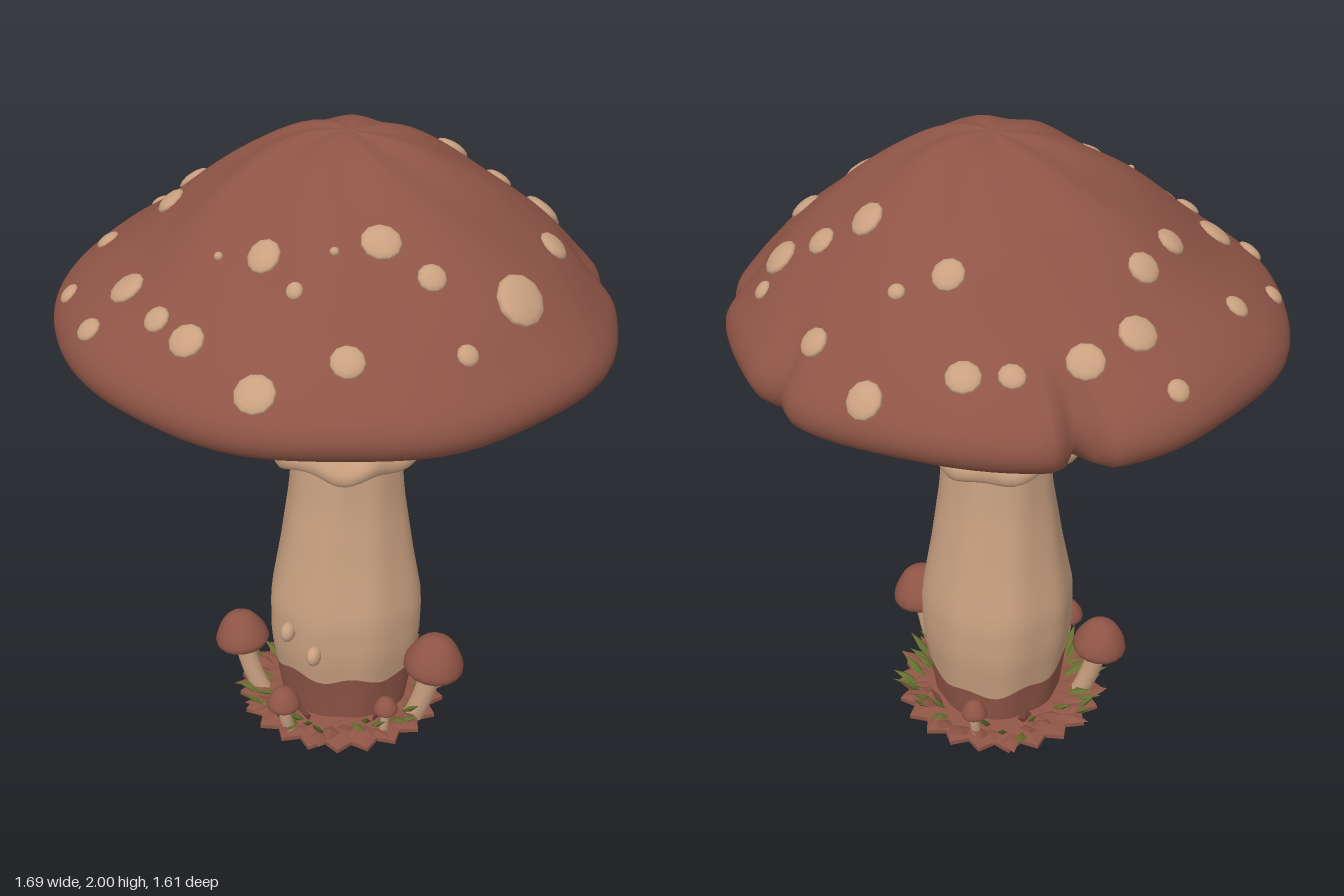
import * as THREE from 'three';

const { sin, cos, abs, exp, PI } = Math;
const mat = (name, color) => {
  const m = new THREE.MeshStandardMaterial({ color });
  m.name = name;
  return m;
};

export function createModel() {
  const model = new THREE.Group();
  const red = mat('russet', 0x8f5546);
  const beige = mat('beige', 0xc9a080);
  const olive = mat('olive', 0x667030);

  let seed = 11;
  const rand = () => (seed = (seed * 16807) % 2147483647) / 2147483647;

  const add = (name, geometry, material, parent = model) => {
    const mesh = new THREE.Mesh(geometry, material);
    mesh.name = name;
    parent.add(mesh);
    return mesh;
  };

  // Closed ring surface; point(angle, row, column) is given from top to bottom, outside first
  const ringSurface = (cols, rows, point) => {
    const pos = [], idx = [];
    for (let j = 0; j < rows; j++) {
      for (let i = 0; i < cols; i++) pos.push(...point((i / cols) * PI * 2, j, i));
    }
    for (let j = 0; j < rows - 1; j++) {
      for (let i = 0; i < cols; i++) {
        const a = j * cols + i, b = j * cols + ((i + 1) % cols);
        idx.push(a, b, a + cols, b, b + cols, a + cols);
      }
    }
    const g = new THREE.BufferGeometry();
    g.setAttribute('position', new THREE.Float32BufferAttribute(pos, 3));
    g.setIndex(idx);
    g.computeVertexNormals();
    return g;
  };
  const smoothProfile = (pts, n) => new THREE.SplineCurve(pts.map(p => new THREE.Vector2(...p))).getPoints(n);

  // Cap: lumpy dome with a rolled rim and a few splits in the edge
  const capProfile = smoothProfile([[0, 2], [0.1, 1.993], [0.2, 1.962], [0.31, 1.9], [0.42, 1.825], [0.53, 1.735],
    [0.64, 1.64], [0.745, 1.55], [0.81, 1.48], [0.83, 1.42], [0.81, 1.37], [0.76, 1.345], [0.7, 1.352]], 36);
  const splits = [[-2.31, 0.13, 0.05], [-1.15, 0.05, 0.06], [-0.45, 0.06, 0.06]];
  const rimScale = a => {
    let s = 1 + 0.008 * sin(5 * a + 1) + 0.006 * sin(9 * a);
    for (const [at, depth, width] of splits) {
      const d = Math.atan2(sin(a - at), cos(a - at));
      s -= depth * exp(-((d / width) ** 2));
    }
    return s;
  };
  const capPoint = (a, j) => {
    const { x: r, y } = capProfile[j];
    const rim = THREE.MathUtils.smoothstep(r, 0.6, 0.8);
    const mid = sin(PI * Math.min(1, r / 0.8));
    const k = r * (1 + (rimScale(a) - 1) * rim + 0.012 * mid * sin(4 * a + 2 + r * 6));
    const lift = 0.008 * mid * sin(7 * a + r * 9) + 0.006 * rim * sin(6 * a);
    return [k * cos(a) * 1.015 + 0.04 * (1 - rim) - 0.004, y + lift, k * sin(a) * 0.97];
  };
  const cap = add('cap', ringSurface(120, capProfile.length, capPoint), red);

  // Gills: fine radial folds running from the rim to the stem
  const gillRows = [[0.73, 1.362], [0.69, 1.352], [0.6, 1.338], [0.45, 1.337], [0.3, 1.352], [0.13, 1.385]];
  add('gills', ringSurface(240, gillRows.length, (a, j, i) => {
    const [r, y] = gillRows[j];
    const fold = (i % 2 ? 0.008 : -0.003) * (j > 0 && j < 5 ? 1 : 0);
    const k = r * (j < 2 ? rimScale(a) : 1);
    return [k * cos(a) * 1.015, y + fold + 0.005 * sin(a * 5), k * sin(a) * 0.97];
  }), beige);

  // Cap spots: x, z, radius, flattened onto the dome
  const spots = [
    [0.02, -0.755, 0.058], [-0.22, -0.64, 0.053], [-0.335, -0.58, 0.038], [0.24, -0.655, 0.046], [-0.485, -0.445, 0.056],
    [-0.56, -0.28, 0.06], [-0.71, -0.335, 0.036], [-0.07, -0.45, 0.048], [0.05, -0.525, 0.026], [0.24, -0.36, 0.055],
    [0.38, -0.385, 0.045], [0.52, -0.39, 0.06], [0.53, -0.475, 0.03], [0.62, -0.105, 0.053], [-0.49, -0.1, 0.05],
    [-0.49, 0.08, 0.05], [-0.7, 0.085, 0.037], [-0.72, 0.325, 0.035], [-0.485, 0.425, 0.056], [-0.56, 0.535, 0.04],
    [-0.335, 0.565, 0.04], [-0.22, 0.63, 0.053], [-0.065, 0.435, 0.052], [0.02, 0.745, 0.058], [0.24, 0.625, 0.047],
    [0.525, 0.46, 0.033], [0.24, 0.34, 0.058], [0.39, 0.355, 0.04], [0.61, 0.24, 0.08], [0.05, 0.51, 0.026],
    [0.13, 0.41, 0.013], [-0.2, 0.43, 0.013]];
  const up = new THREE.Vector3(0, 1, 0);
  const ray = new THREE.Raycaster();
  cap.updateMatrixWorld();
  for (const [x, z, r] of spots) {
    ray.set(new THREE.Vector3(x, 3, z), new THREE.Vector3(0, -1, 0));
    const hit = ray.intersectObject(cap)[0];
    if (!hit) continue;
    const spot = add('capSpot', new THREE.SphereGeometry(1, 11, 8), beige);
    spot.position.copy(hit.point);
    spot.quaternion.setFromUnitVectors(up, hit.face.normal);
    spot.scale.set(r * (0.94 + 0.12 * rand()), 0.012 + r * 0.14, r * (0.94 + 0.12 * rand()));
  }

  // Stem: three bands with uneven colour borders
  const stemKeys = [[0, 0.2], [0.15, 0.222], [0.28, 0.243], [0.42, 0.245], [0.6, 0.212], [0.8, 0.182], [0.95, 0.17], [1.15, 0.157], [1.4, 0.153]];
  const stemRadius = y => {
    const i = Math.max(1, stemKeys.findIndex(k => k[0] >= y));
    const [[y0, r0], [y1, r1]] = [stemKeys[i - 1], stemKeys[i]];
    return r0 + (r1 - r0) * (y - y0) / (y1 - y0);
  };
  const stemPoint = (a, y) => {
    const r = stemRadius(y) * (1 + 0.02 * sin(3 * a + 1 + y) + 0.014 * sin(8 * a + 3 * y));
    return [0.025 + r * cos(a), y, r * sin(a) - 0.005];
  };
  const neckEdge = a => 1.22 + 0.07 * cos(a + 0.6) + 0.014 * sin(9 * a);
  const footEdge = a => 0.165 + 0.03 * sin(a) + 0.012 * sin(7 * a);
  const band = (name, material, rows, top, bottom) => add(name, ringSurface(64, rows, (a, j) =>
    stemPoint(a, THREE.MathUtils.lerp(top(a), bottom(a), j / (rows - 1)))), material);
  band('stemNeck', red, 6, () => 1.4, neckEdge);
  band('stem', beige, 24, neckEdge, footEdge);
  band('stemFoot', red, 6, footEdge, () => 0);

  // Skirt around the upper stem, with a wavy hem
  const skirtRows = smoothProfile([[0.15, 1.23], [0.172, 1.16], [0.197, 1.09], [0.225, 1.045], [0.25, 1.005],
    [0.243, 0.968], [0.215, 0.965], [0.16, 0.99]], 18);
  add('skirt', ringSurface(72, skirtRows.length, (a, j) => {
    const { x, y } = skirtRows[j];
    const w = THREE.MathUtils.smoothstep(x, 0.17, 0.24);
    const r = x * (1 + 0.05 * w * sin(7 * a + 0.5) + 0.02 * w * sin(3 * a));
    return [0.02 + r * cos(a), y + w * (0.014 * sin(7 * a + 1.5) + 0.008 * sin(4 * a)), r * sin(a)];
  }), beige);

  // Stubs on the front of the stem
  for (const [x, y, z] of [[0.005, 0.31, 0.25], [-0.09, 0.365, 0.225]]) {
    const stub = add('stemStub', new THREE.SphereGeometry(1, 10, 8), beige);
    stub.position.set(x, y, z);
    stub.scale.set(0.024, 0.034, 0.034);
    stub.rotation.x = 0.5;
  }

  // Small mushrooms: cap centre x, z, cap bottom y, cap radius, foot x, z
  const smallProfile = smoothProfile([[0, 1.4], [0.45, 1.28], [0.8, 0.85], [1, 0.35], [0.88, 0.08], [0.5, 0], [0, 0.1]], 14);
  const smallCap = ringSurface(16, smallProfile.length, (a, j) =>
    [smallProfile[j].x * cos(a), smallProfile[j].y, smallProfile[j].x * sin(a)]);
  for (const [x, z, y, r, fx, fz] of [
    [-0.29, 0.11, 0.19, 0.088, -0.23, 0.1], [0.345, 0.065, 0.2, 0.098, 0.285, 0.06],
    [-0.08, 0.3, 0.12, 0.055, -0.07, 0.27], [0.23, 0.2, 0.105, 0.04, 0.22, 0.19], [-0.04, -0.28, 0.1, 0.042, -0.04, -0.26]]) {
    const shroom = new THREE.Group();
    shroom.name = 'smallMushroom';
    model.add(shroom);
    const c = add('smallCap', smallCap, red, shroom);
    c.position.set(x, y, z);
    c.scale.setScalar(r);
    c.rotation.z = (fx - x) * 2;
    const path = new THREE.QuadraticBezierCurve3(new THREE.Vector3(fx, 0.01, fz),
      new THREE.Vector3((fx + x * 2) / 3, y * 0.5, z), new THREE.Vector3(x, y + r * 0.2, z));
    add('smallStem', new THREE.TubeGeometry(path, 8, r * 0.36, 10), beige, shroom);
  }

  // Leaf litter at the base, open in the middle to show the sole
  const litterRows = [[0.18, 0.035], [0.3, 0.014], [0.3, 0], [0.14, 0]];
  add('leafLitter', ringSurface(44, 4, (a, j, i) => {
    const [r, y] = litterRows[j];
    const k = r + (r > 0.25 ? (i % 2) * 0.04 : 0);
    return [0.015 + k * cos(a), y, k * sin(a)];
  }).toNonIndexed(), red).geometry.computeVertexNormals();
  add('sole', ringSurface(24, 2, (a, j) => [0.015 + 0.145 * (1 - j) * cos(a), 0.0005, 0.145 * (1 - j) * sin(a)]), beige);

  // Pointed leaves, each lying outward from the stem
  const leafShape = new THREE.OctahedronGeometry(1);
  const leaf = (name, material, a, r, length, width, tilt) => {
    const m = add(name, leafShape, material);
    m.rotation.order = 'YXZ';
    m.rotation.set(-tilt, PI / 2 - a + (rand() - 0.5) * 0.9, (rand() - 0.5) * 0.5);
    m.scale.set(width, 0.009, length);
    m.position.set(0.015 + r * cos(a), 0.016 + length * abs(sin(tilt)), r * sin(a));
  };
  for (let i = 0; i < 34; i++) {
    leaf('fallenLeaf', red, (i / 34) * PI * 2 + rand() * 0.1, 0.25 + rand() * 0.06, 0.05 + rand() * 0.015, 0.03, 0.05 + rand() * 0.4);
  }
  for (const a of [0.75, 1.75, 3.9, 5.2]) leaf('uprightLeaf', red, a, 0.25, 0.06, 0.025, 1.1);
  // Grass tufts: centre angle, spread, count
  for (const [at, spread, count] of [[0.35, 0.7, 13], [2.6, 0.75, 15], [1.75, 0.25, 4], [5.4, 0.4, 7], [4.1, 0.3, 4]]) {
    for (let i = 0; i < count; i++) {
      leaf('grassBlade', olive, at + spread * (2 * i / (count - 1) - 1), 0.25 + rand() * 0.07, 0.045 + rand() * 0.02, 0.017, 0.3 + rand() * 0.6);
    }
  }
  return model;
}
